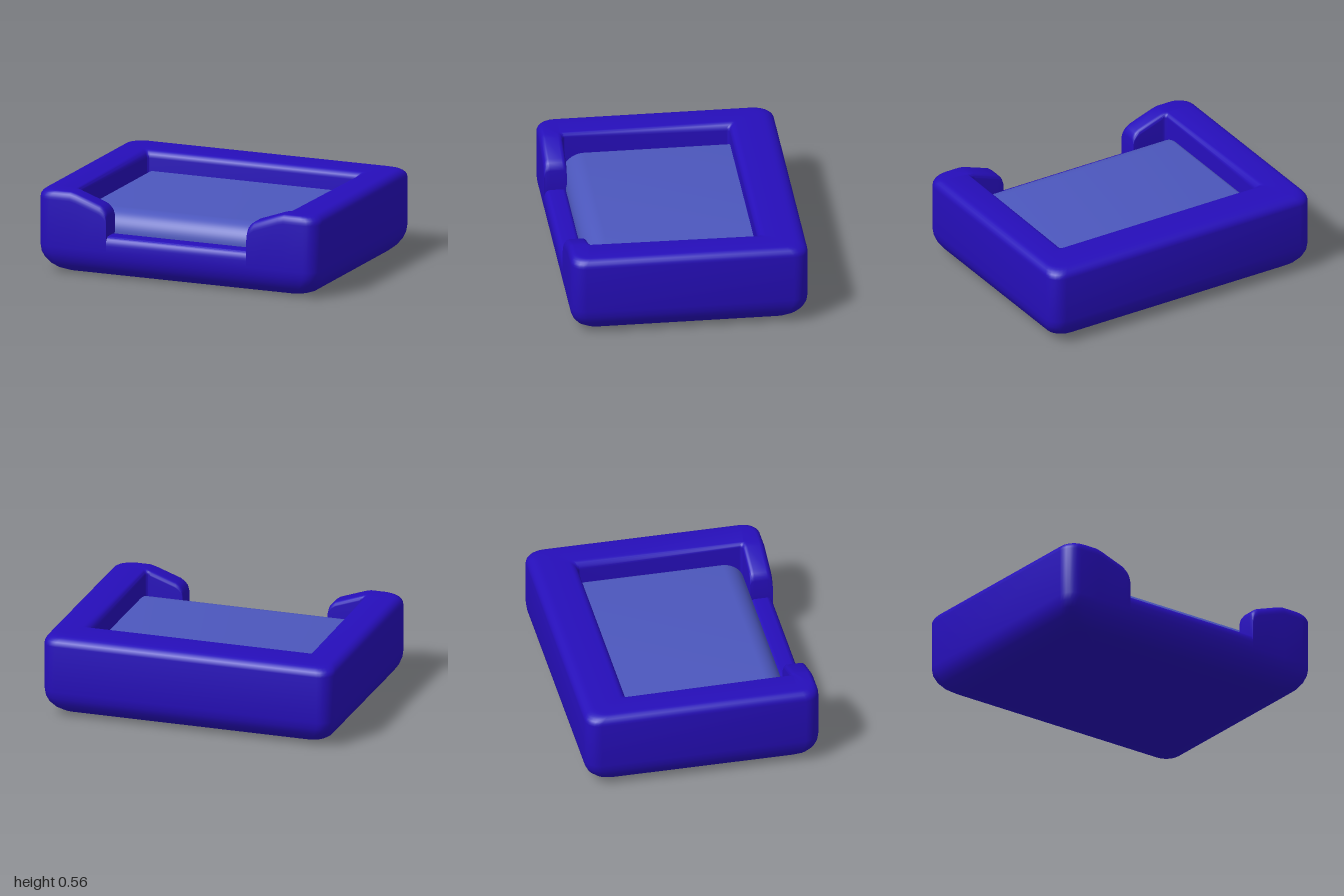
import * as THREE from 'three';
import { mergeVertices, toCreasedNormals } from 'three/addons/utils/BufferGeometryUtils.js';

const TOP = 0.555, FLOOR = 0.15, CORNER = 0.1, INNER_CORNER = 0.02;
const clamp = (v, m) => Math.max(-m, Math.min(m, v));

// Stations around the bed: four rounded corners, plus the low entrance along the front.
function makeStations() {
  const stations = [];
  const corner = (sx, sz, start) => {
    for (let i = 0; i <= 6; i++) {
      const a = start + (i / 6) * Math.PI / 2;
      stations.push({ sx, sz, cx: Math.cos(a), cz: Math.sin(a), h: TOP });
    }
  };
  const entrance = [[0.76, TOP], [0.72, 0.545], [0.55, 0.485], [0.525, 0.467], [0.507, 0.445], [0.5, 0.42], [0.5, 0.28]];
  corner(1, 1, 0);
  for (const [x, h] of entrance) stations.push({ x, sx: 0, sz: 1, h });
  for (const [x, h] of [...entrance].reverse()) stations.push({ x: -x, sx: 0, sz: 1, h });
  corner(-1, 1, Math.PI / 2);
  corner(-1, -1, Math.PI);
  corner(1, -1, Math.PI * 1.5);
  return stations;
}

// Cross-section of the wall at one station, from the underside over the rim to the floor.
function wallSection(s) {
  const front = s.sz > 0;
  const outer = (dx, dz, y) => new THREE.Vector3(
    s.sx ? s.sx * (1 - CORNER - dx) + CORNER * s.cx : clamp(s.x, 1 - CORNER - dx),
    y,
    s.sz * (0.78 - dz) + (s.sx ? CORNER * (s.cz - s.sz) : 0));
  const inner = (e, y) => new THREE.Vector3(
    s.sx ? s.sx * (0.75 - INNER_CORNER + e) + INNER_CORNER * s.cx : clamp(s.x, 0.75 - INNER_CORNER + e),
    y,
    (front ? 0.63 + e : -0.47 - e) + (s.sx ? INNER_CORNER * (s.cz - s.sz) : 0));
  const pts = [new THREE.Vector3(0, 0, 0)];
  const n = 6;
  for (let i = 0; i <= n; i++) { // large bottom edge
    const a = (i / n) * Math.PI / 2, k = 1 - Math.sin(a);
    pts.push(outer(0.17 * k, (front ? 0.15 : 0.19) * k, 0.18 * (1 - Math.cos(a))));
  }
  for (let i = 0; i <= n; i++) { // outer rim edge
    const a = (i / n) * Math.PI / 2, k = 1 - Math.cos(a);
    pts.push(outer(0.06 * k, (front ? 0.04 : 0.08) * k, s.h - 0.06 * (1 - Math.sin(a))));
  }
  const r = front ? 0.03 : 0.05;
  for (let i = 0; i <= n; i++) { // inner rim edge
    const a = (i / n) * Math.PI / 2;
    pts.push(inner(r * (1 - Math.sin(a)), s.h - r * (1 - Math.cos(a))));
  }
  pts.push(inner(0, FLOOR), new THREE.Vector3(0, FLOOR, 0));
  return pts;
}

function loft(sections) {
  const n = sections.length, m = sections[0].length, index = [];
  for (let i = 0; i < n; i++) {
    for (let j = 0; j < m - 1; j++) {
      const a = i * m + j, b = ((i + 1) % n) * m + j;
      index.push(a, a + 1, b, b, a + 1, b + 1);
    }
  }
  const geo = new THREE.BufferGeometry().setFromPoints(sections.flat());
  geo.setIndex(index);
  return toCreasedNormals(geo, 0.6);
}

// Cushion: side profile with a generously rounded front edge, extruded across the bed.
function cushionGeometry() {
  const b = 0.035, z0 = -0.47 + b, z1 = 0.635 - b, y0 = FLOOR + b, y1 = 0.42 - b, r = 0.11;
  const shape = new THREE.Shape();
  shape.moveTo(z0, y0);
  shape.lineTo(z1, y0);
  shape.lineTo(z1, y1 - r);
  shape.absarc(z1 - r, y1 - r, r, 0, Math.PI / 2, false);
  shape.lineTo(z0, y1);
  shape.closePath();
  const geo = new THREE.ExtrudeGeometry(shape, {
    depth: 1.5 - 2 * b, bevelEnabled: true, bevelSize: b, bevelThickness: b, bevelSegments: 5, curveSegments: 8,
  });
  geo.translate(0, 0, -(1.5 - 2 * b) / 2);
  geo.rotateY(-Math.PI / 2);
  geo.deleteAttribute('normal');
  geo.deleteAttribute('uv');
  return toCreasedNormals(mergeVertices(geo, 1e-4), 0.6);
}

export function createModel() {
  const blue = new THREE.MeshStandardMaterial({ color: 0x260eba });
  blue.name = 'deep blue fabric';
  const paleBlue = new THREE.MeshStandardMaterial({ color: 0x4c57bd });
  paleBlue.name = 'soft blue cushion';

  const bed = new THREE.Group();
  bed.name = 'petBed';
  const frame = new THREE.Mesh(loft(makeStations().map(wallSection)), blue);
  frame.name = 'bolsterFrame';
  const cushion = new THREE.Mesh(cushionGeometry(), paleBlue);
  cushion.name = 'cushion';
  bed.add(frame, cushion);
  return bed;
}
